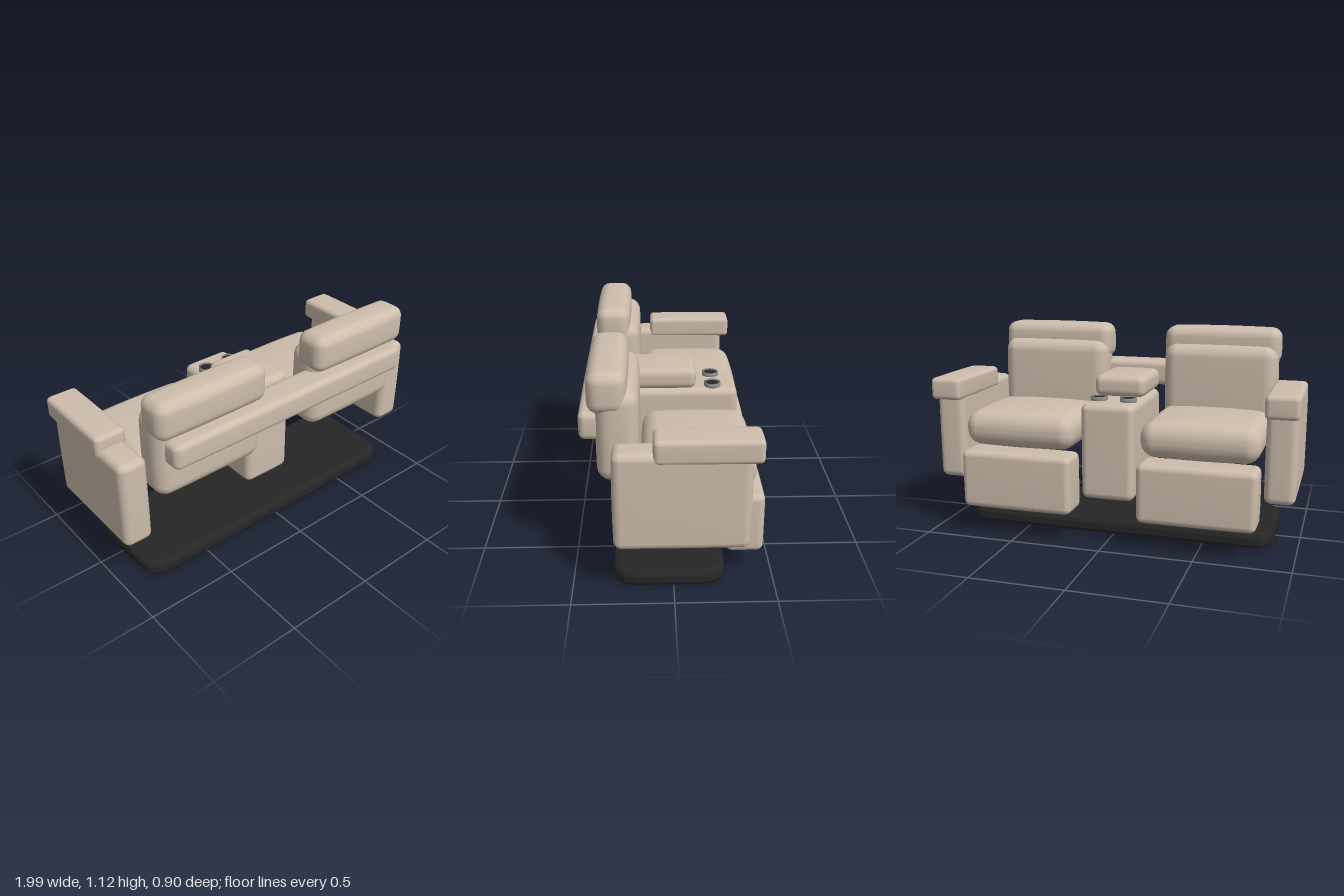
import * as THREE from 'three';
import { mergeVertices } from 'three/addons/utils/BufferGeometryUtils.js';

const leather = new THREE.MeshStandardMaterial({ color: 0xcdbdac });
const black = new THREE.MeshStandardMaterial({ color: 0x262626 });
const metal = new THREE.MeshStandardMaterial({ color: 0x8c8c8c });

const SEG = 10, ROUND = 3; // grid cells per side, of which ROUND at each end form the rounding

// Upholstered block between two corners: rounded edges, faces swelling by bulge [x, y, z]
function cushion(name, min, max, radius, bulge = [0, 0, 0], material = leather) {
  let geo = new THREE.BoxGeometry(2, 2, 2, SEG, SEG, SEG);
  geo.deleteAttribute('uv');
  geo.deleteAttribute('normal');
  geo = mergeVertices(geo);
  const half = min.map((v, i) => (max[i] - v) / 2 - bulge[i]);
  const r = half.map(h => Math.min(radius, h * 0.95));
  const pos = geo.attributes.position;
  const knee = 1 - (2 * ROUND) / SEG;
  for (let i = 0; i < pos.count; i++) {
    const p = [pos.getX(i), pos.getY(i), pos.getZ(i)];
    const d = new THREE.Vector3(); // offset within the rounded zone
    const inner = p.map((v, a) => {
      const s = Math.sign(v), t = Math.abs(v);
      if (t > knee) d.setComponent(a, s * Math.tan(((t - knee) / (1 - knee)) * Math.PI / 4));
      return s * Math.min(t / knee, 1) * (half[a] - r[a]);
    });
    d.normalize();
    const q = inner.map((v, a) => v + d.getComponent(a) * r[a]);
    const dome = q.map((v, a) => Math.max(0, 1 - (v / half[a]) ** 2));
    const out = q.map((v, a) =>
      v + (v / half[a]) * bulge[a] * Math.sqrt(dome[(a + 1) % 3] * dome[(a + 2) % 3]));
    pos.setXYZ(i, out[0], out[1], out[2]);
  }
  geo.computeVertexNormals();
  const mesh = new THREE.Mesh(geo, material);
  mesh.name = name;
  mesh.position.set(...min.map((v, i) => (v + max[i]) / 2));
  return mesh;
}

// Low plinth with rounded corners and bevelled rim
function makeBase() {
  const w = 0.84, d = 0.25, r = 0.09, bevel = 0.03;
  const shape = new THREE.Shape();
  shape.moveTo(-w + r, -d);
  shape.lineTo(w - r, -d);
  shape.quadraticCurveTo(w, -d, w, -d + r);
  shape.lineTo(w, d - r);
  shape.quadraticCurveTo(w, d, w - r, d);
  shape.lineTo(-w + r, d);
  shape.quadraticCurveTo(-w, d, -w, d - r);
  shape.lineTo(-w, -d + r);
  shape.quadraticCurveTo(-w, -d, -w + r, -d);
  const geo = new THREE.ExtrudeGeometry(shape, {
    depth: 0.035, bevelEnabled: true, bevelThickness: 0.025, bevelSize: bevel,
    bevelSegments: 2, curveSegments: 3,
  });
  geo.rotateX(-Math.PI / 2);
  const mesh = new THREE.Mesh(geo, black);
  mesh.name = 'base';
  mesh.position.set(0, 0.025, 0.022);
  return mesh;
}

// Cup holder: metal ring around a dark well
function makeCupHolder(x) {
  const cup = new THREE.Group();
  cup.name = 'cupHolder';
  const profile = [[0.036, 0], [0.036, 0.02], [0.045, 0.02], [0.045, 0], [0.04, -0.03]]
    .map(([a, b]) => new THREE.Vector2(a, b));
  const rim = new THREE.Mesh(new THREE.LatheGeometry(profile, 24),
    new THREE.MeshStandardMaterial({ color: 0x8c8c8c, side: THREE.DoubleSide }));
  rim.name = 'cupRim';
  const well = new THREE.Mesh(new THREE.CylinderGeometry(0.038, 0.038, 0.04, 24), black);
  well.name = 'cupWell';
  well.position.y = -0.004;
  cup.add(rim, well);
  cup.position.set(x, 0.757, -0.235);
  return cup;
}

export function createModel() {
  const sofa = new THREE.Group();
  sofa.name = 'recliningSofa';
  sofa.add(makeBase());

  // Paired parts, given for the +x side and mirrored
  const paired = [
    ['arm', [0.825, 0.285, -0.36], [0.99, 0.79, 0.292], 0.035, [0.004, 0.004, 0.006]],
    ['armrestPad', [0.82, 0.735, -0.407], [0.997, 0.86, 0.1], 0.022, [0.003, 0.004, 0.004]],
    ['seatCushion', [0.178, 0.475, -0.407], [0.812, 0.695, 0.155], 0.07, [0.008, 0.025, 0.01]],
    ['footrest', [0.178, 0.15, -0.45], [0.81, 0.475, -0.255], 0.032, [0.005, 0.004, 0.005]],
    ['backCushion', [0.172, 0.545, 0.157], [0.818, 1.02, 0.37], 0.065, [0.008, 0.008, 0.008]],
    ['headrest', [0.165, 0.9, 0.212], [0.826, 1.115, 0.407], 0.05, [0.01, 0.008, 0.008]],
  ];
  for (const [name, min, max, radius, bulge] of paired) {
    sofa.add(cushion(name + 'Left', min, max, radius, bulge));
    sofa.add(cushion(name + 'Right', [-max[0], min[1], min[2]], [-min[0], max[1], max[2]], radius, bulge));
  }

  // Rear rail joining the two seats
  sofa.add(cushion('rearRail', [-0.775, 0.757, 0.275], [0.772, 0.9, 0.45], 0.03, [0.008, 0.002, 0.004]));

  // Centre console with lid and cup holders
  sofa.add(cushion('console', [-0.15, 0.233, -0.372], [0.145, 0.758, 0.215], 0.035, [0.003, 0.004, 0.004]));
  sofa.add(cushion('consoleLid', [-0.148, 0.752, -0.145], [0.14, 0.875, 0.218], 0.035, [0.004, 0.006, 0.004]));
  for (const x of [-0.085, 0.077]) sofa.add(makeCupHolder(x));

  return sofa;
}
